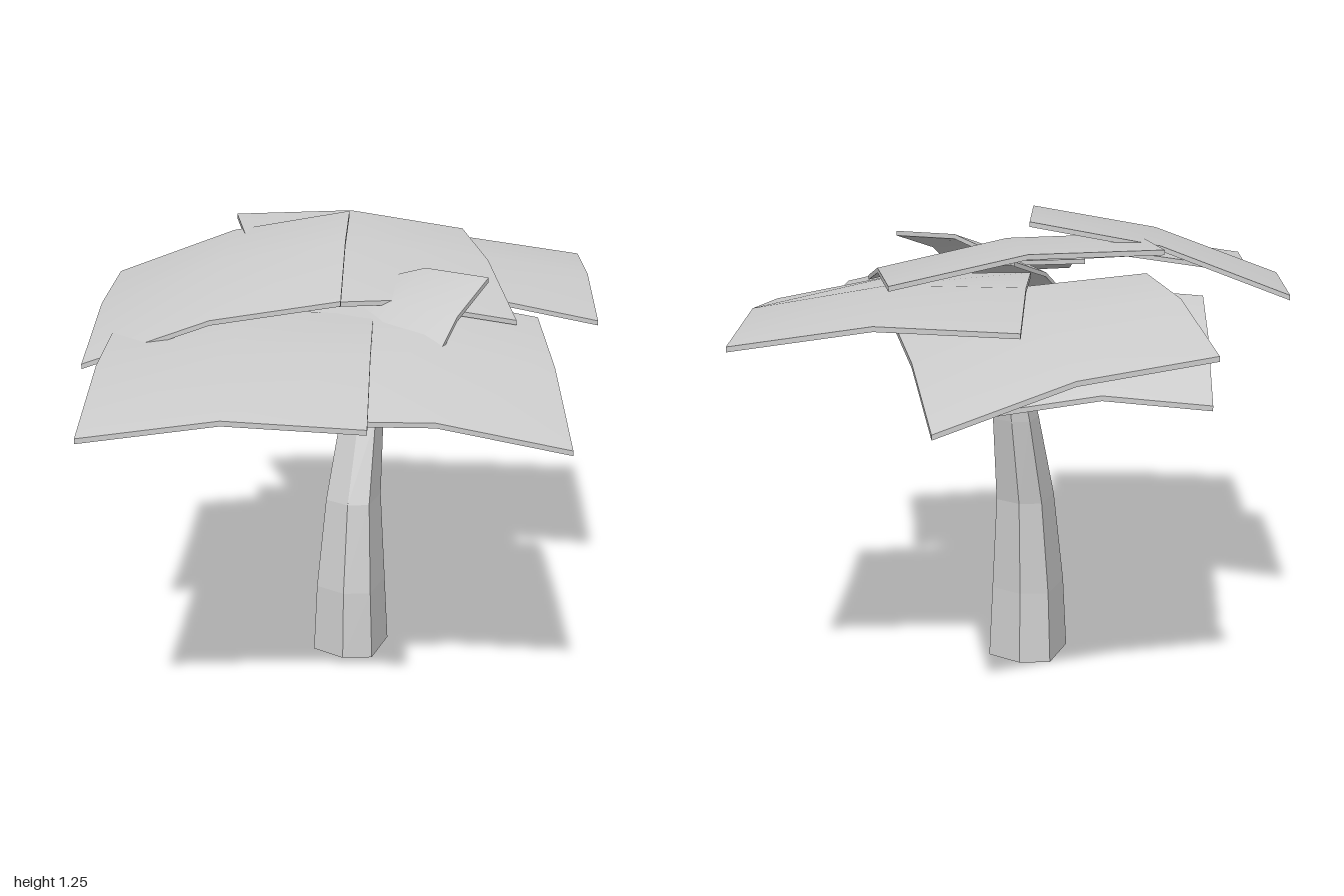
import * as THREE from 'three';

const material = new THREE.MeshStandardMaterial({ color: 0xcccccc });
const barkMaterial = new THREE.MeshStandardMaterial({ color: 0xcccccc, flatShading: true });
const V = (x, y, z) => new THREE.Vector3(x, y, z);

// Flat-shaded skin through equal-sized rings (counter-clockwise seen from the far end), capped at both ends.
function loft(rings) {
  const n = rings[0].length, pos = [];
  const tri = (...pts) => pts.forEach((p) => pos.push(p.x, p.y, p.z));
  for (let r = 0; r < rings.length - 1; r++) {
    for (let i = 0; i < n; i++) {
      const j = (i + 1) % n, a = rings[r], b = rings[r + 1];
      tri(a[i], a[j], b[j]);
      tri(a[i], b[j], b[i]);
    }
  }
  const first = rings[0], last = rings[rings.length - 1];
  for (let i = 1; i < n - 1; i++) {
    tri(first[0], first[i + 1], first[i]);
    tri(last[0], last[i], last[i + 1]);
  }
  const g = new THREE.BufferGeometry();
  g.setAttribute('position', new THREE.Float32BufferAttribute(pos, 3));
  g.computeVertexNormals();
  return g;
}

// Six-sided trunk ring from its extents: height, min x, max x, back z, front z
function trunkRing([y, x0, x1, z0, z1]) {
  const cx = (x0 + x1) / 2, cz = (z0 + z1) / 2, w = (x1 - x0) / 2, d = (z1 - z0) / 2;
  return [[0.12, 1], [1, 0.7], [1, -0.7], [-0.12, -1], [-1, -0.7], [-1, 0.7]]
    .map(([a, b]) => V(cx + a * w, y, cz + b * d));
}

// Tapering six-sided branch along a path
function branch(points, r0, r1) {
  const path = new THREE.CatmullRomCurve3(points);
  const steps = 4;
  const rings = [];
  for (let s = 0; s <= steps; s++) {
    const t = s / steps, c = path.getPoint(t), dir = path.getTangent(t);
    const side = V(0, 1, 0).cross(dir).normalize(), up = dir.clone().cross(side);
    const r = THREE.MathUtils.lerp(r0, r1, t);
    rings.push(Array.from({ length: 6 }, (_, i) => {
      const a = (i * Math.PI) / 3;
      return c.clone().addScaledVector(side, r * Math.cos(a)).addScaledVector(up, r * Math.sin(a));
    }));
  }
  return loft(rings);
}

// Thin domed sheet spanned by four corners: back left, back right, front right, front left (by x)
function leafSheet([a, b, c, d], bulge) {
  const thick = 0.013;
  const g = new THREE.BoxGeometry(1, 1, 1, 2, 1, 2);
  const p = g.attributes.position;
  const A = V(...a), B = V(...b), C = V(...c), D = V(...d);
  for (let i = 0; i < p.count; i++) {
    const u = p.getX(i) + 0.5, v = p.getZ(i) + 0.5;
    const q = A.clone().lerp(B, u).lerp(D.clone().lerp(C, u), v);
    q.y += bulge * 4 * (u * (1 - u) + v * (1 - v)) + (p.getY(i) - 0.5) * thick;
    p.setXYZ(i, q.x, q.y, q.z);
  }
  g.computeVertexNormals();
  return g;
}

export function createModel() {
  const tree = new THREE.Group();
  tree.name = 'tree';
  const add = (name, geometry, mat) => {
    const m = new THREE.Mesh(geometry, mat);
    m.name = name;
    tree.add(m);
  };

  // Leaning trunk
  add('trunk', loft([
    [0, -0.11, 0.07, -0.21, 0],
    [0.2, -0.102, 0.062, -0.2, -0.01],
    [0.46, -0.085, 0.046, -0.2, -0.05],
    [0.7, -0.065, 0.04, -0.235, -0.13],
    [0.85, -0.042, 0.034, -0.25, -0.16],
    [1.04, -0.022, 0.012, -0.245, -0.18],
  ].map(trunkRing)), barkMaterial);

  // Two curved side branches
  add('rightBranch', branch([
    V(-0.03, 0.77, -0.2), V(-0.13, 0.785, -0.25), V(-0.24, 0.84, -0.3), V(-0.33, 0.96, -0.34),
  ], 0.042, 0.016), barkMaterial);
  add('leftBranch', branch([
    V(0, 0.87, -0.2), V(0.06, 0.9, -0.1), V(0.13, 0.93, 0), V(0.19, 0.985, 0.1),
  ], 0.03, 0.014), barkMaterial);

  // Overlapping canopy sheets
  const sheets = {
    canopyTopRight: [[-0.74, 1.07, -0.13], [-0.1, 1.255, -0.32], [0.11, 1.175, 0.35], [-0.53, 1.0, 0.54]],
    canopyFront: [[-0.53, 1.05, 0.33], [0.12, 1.08, 0.12], [0.33, 1.0, 0.79], [-0.32, 0.97, 0.99]],
    canopyFrontLeft: [[-0.13, 1.1, 0.06], [0.49, 1.025, -0.2], [0.74, 0.88, 0.44], [0.12, 0.97, 0.7]],
    canopyBackLeft: [[-0.23, 1.06, -0.76], [0.43, 1.025, -0.97], [0.64, 1.005, -0.29], [-0.02, 1.08, -0.08]],
    canopyBackRight: [[-0.69, 1.025, -0.69], [-0.1, 0.865, -1], [0.24, 0.98, -0.41], [-0.35, 1.1, -0.1]],
    canopyMiddle: [[-0.47, 1.21, -0.37], [0.13, 1.14, -0.7], [0.46, 1.045, -0.08], [-0.14, 1.12, 0.25]],
    canopyLower: [[-0.64, 0.865, -0.53], [-0.12, 0.838, -0.66], [0.04, 1.0, -0.13], [-0.48, 1.03, 0]],
    canopySmall: [[0.02, 1.11, -0.1], [0.39, 1.167, -0.04], [0.33, 0.98, 0.345], [-0.05, 0.935, 0.23]],
  };
  for (const [name, corners] of Object.entries(sheets)) add(name, leafSheet(corners, 0.033), material);

  return tree;
}
